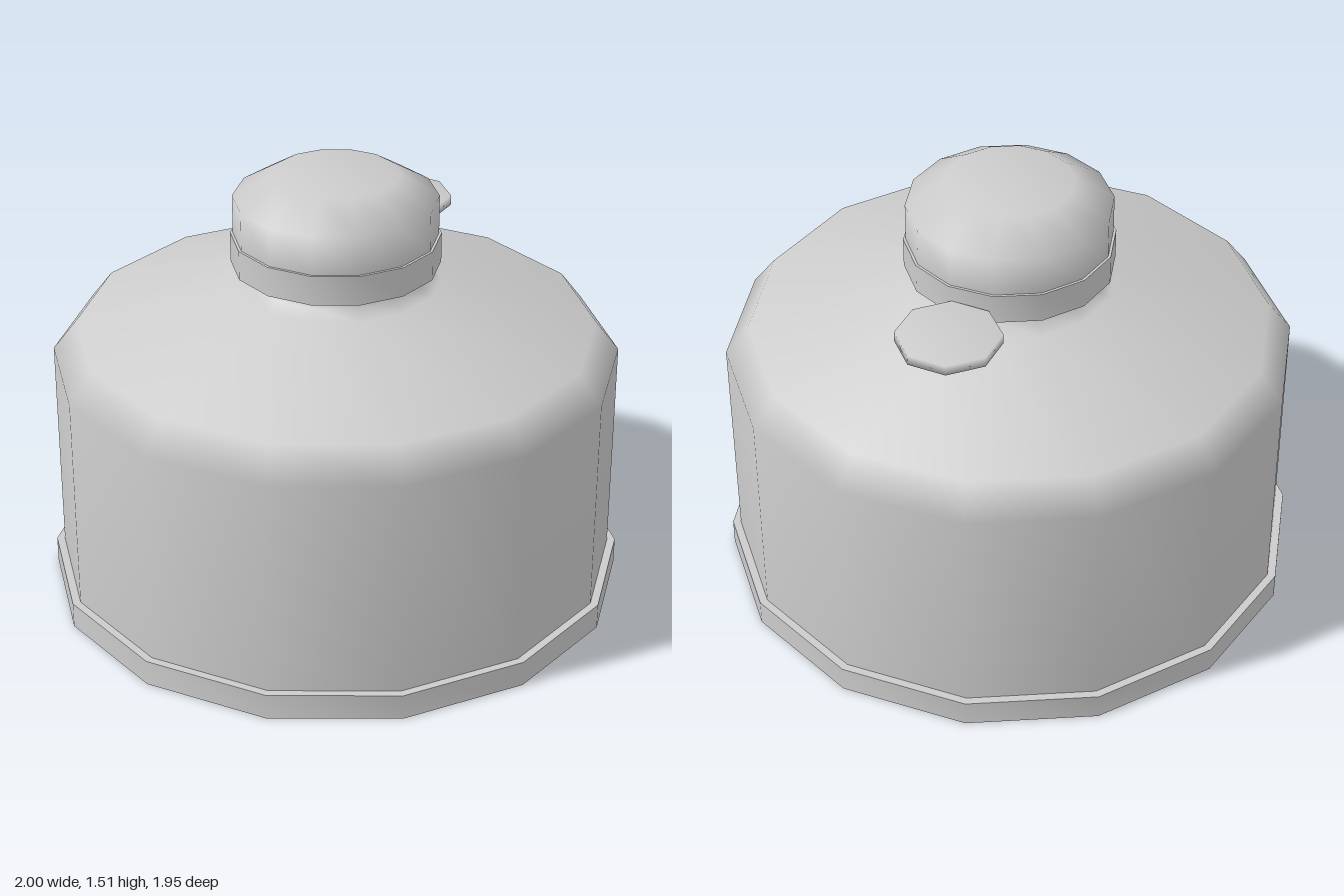
import * as THREE from 'three';
import { toCreasedNormals } from 'three/addons/utils/BufferGeometryUtils.js';

const SIDES = 14;

// Turned part from [radius, height] pairs, with a corner on the +x axis
function turned(name, profile, sides = SIDES, creased = false) {
  const points = profile.map(([r, y]) => new THREE.Vector2(r, y));
  let geometry = new THREE.LatheGeometry(points, sides, Math.PI / 2);
  if (creased) geometry = toCreasedNormals(geometry, 1.15);
  const mesh = new THREE.Mesh(geometry, new THREE.MeshStandardMaterial({ color: 0xcccccc }));
  mesh.name = name;
  return mesh;
}

export function createModel() {
  const model = new THREE.Group();
  model.name = 'bottle';

  // Body: wall, bevel, sloping shoulder and neck
  model.add(turned('body', [
    [0.972, 0.09], [0.972, 0.855], [0.89, 0.96],
    [0.355, 1.125], [0.31, 1.155], [0.31, 1.19],
  ]));

  // Foot ring with a hollow floor rising to the middle
  model.add(turned('base', [
    [0, 0.22], [0.955, 0.025], [0.955, 0], [1, 0], [1, 0.09], [0.972, 0.09],
  ], SIDES, true));

  // Collar below the cap
  model.add(turned('capCollar', [
    [0.31, 1.188], [0.356, 1.188], [0.356, 1.292], [0.347, 1.292],
  ], SIDES, true));

  // Cap with a bevelled top
  model.add(turned('cap', [
    [0.347, 1.292], [0.347, 1.427], [0.215, 1.507], [0, 1.507],
  ]));

  // Thin round pull tab beside the collar
  const tab = turned('pullTab', [
    [0, 1.203], [0.175, 1.203], [0.175, 1.238], [0, 1.238],
  ], 8);
  tab.position.set(-0.215, 0, -0.467);
  model.add(tab);

  return model;
}
